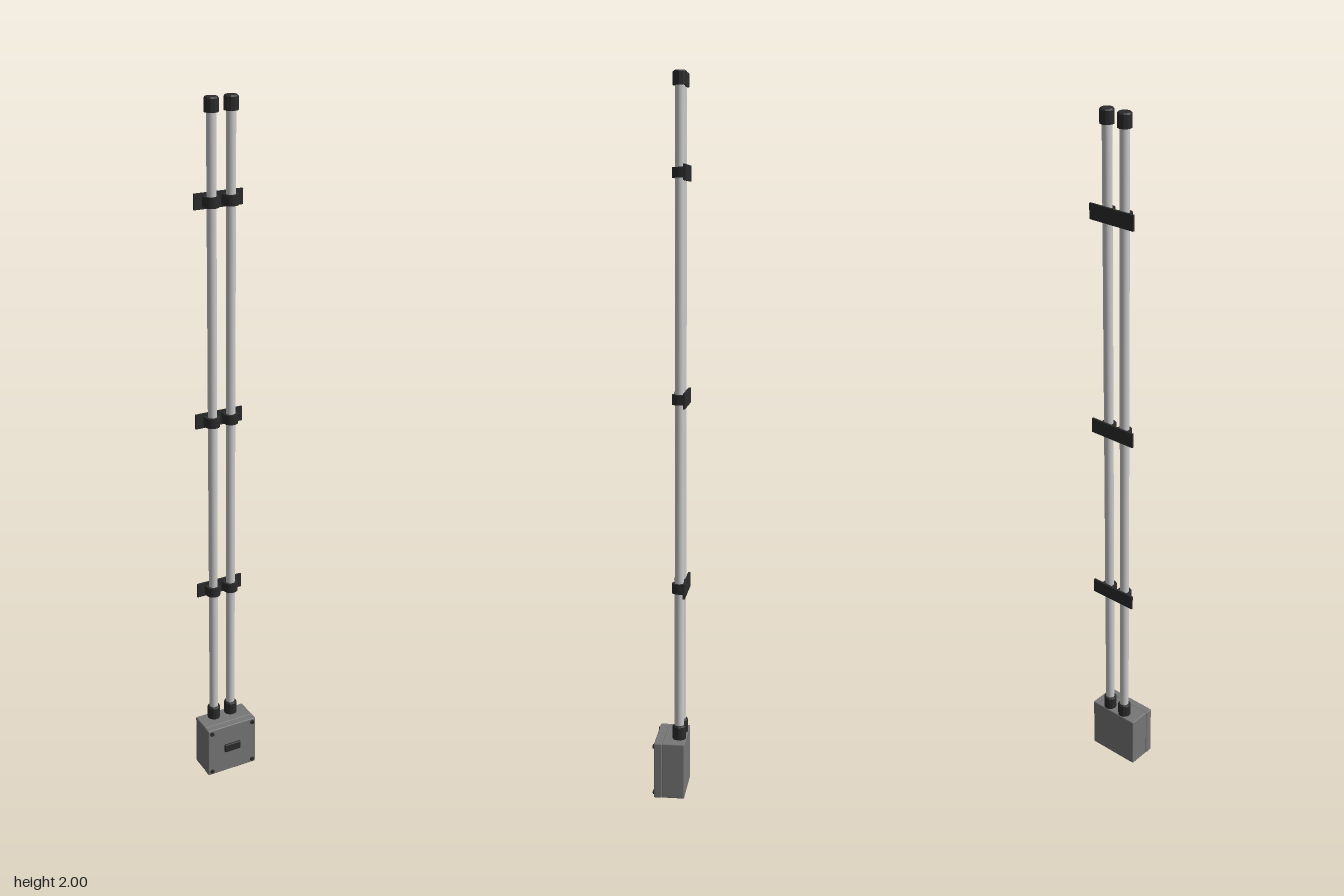
import * as THREE from 'three';
import { RoundedBoxGeometry } from 'three/addons/geometries/RoundedBoxGeometry.js';

const PIPE_X = 0.028, PIPE_Z = -0.027, BACK_Z = -0.047;

export function createModel() {
  const model = new THREE.Group();
  model.name = 'twinConduitWithJunctionBox';
  const steel = new THREE.MeshStandardMaterial({ color: 0xcccccc });
  const boxGrey = new THREE.MeshStandardMaterial({ color: 0x777777 });
  const black = new THREE.MeshStandardMaterial({ color: 0x2b2b2b });
  const blackFlat = black.clone();
  blackFlat.flatShading = true;

  function add(parent, name, geometry, material, x, y, z) {
    const mesh = new THREE.Mesh(geometry, material);
    mesh.name = name;
    mesh.position.set(x, y, z);
    parent.add(mesh);
    return mesh;
  }

  // Junction box: body and slightly separated lid
  const box = new THREE.Group();
  box.name = 'junctionBox';
  model.add(box);
  add(box, 'boxBody', new RoundedBoxGeometry(0.158, 0.16, 0.064, 2, 0.003), boxGrey, 0, 0.08, -0.015);
  add(box, 'boxLid', new RoundedBoxGeometry(0.16, 0.16, 0.023, 2, 0.003), boxGrey, 0, 0.08, 0.0275);
  add(box, 'labelPlate', new RoundedBoxGeometry(0.053, 0.026, 0.009, 2, 0.003), black, 0, 0.083, 0.041);
  const screw = new THREE.CylinderGeometry(0.006, 0.007, 0.006, 12).rotateX(Math.PI / 2);
  for (const x of [-0.068, 0.068])
    for (const y of [0.012, 0.148]) add(box, 'lidScrew', screw, black, x, y, 0.04);

  // Pipes with a gland at the bottom and a bevelled cap at the top
  const pipe = new THREE.CylinderGeometry(0.013, 0.013, 1.82, 20);
  const fitting = (h) => new THREE.LatheGeometry([
    [0, 0], [0.019, 0], [0.019, h - 0.004], [0.016, h], [0, h],
  ].map(([r, y]) => new THREE.Vector2(r, y)), 12);
  const gland = fitting(0.042), cap = fitting(0.038);
  for (const x of [-PIPE_X, PIPE_X]) {
    add(model, 'pipe', pipe, steel, x, 1.07, PIPE_Z);
    add(model, 'pipeGland', gland, blackFlat, x, 0.158, PIPE_Z);
    add(model, 'pipeCap', cap, blackFlat, x, 1.962, PIPE_Z);
  }

  // Saddle: U-shaped band reaching back to the wall strip
  const outer = 0.0205, depth = PIPE_Z - BACK_Z;
  const band = new THREE.Shape();
  band.moveTo(outer, depth);
  band.lineTo(outer, 0);
  band.absarc(0, 0, outer, 0, -Math.PI, true);
  band.lineTo(-outer, depth);
  band.closePath();
  const hole = new THREE.Path();
  hole.absarc(0, 0, 0.0128, 0, Math.PI * 2, false);
  band.holes.push(hole);
  const saddle = new THREE.ExtrudeGeometry(band, { depth: 0.028, bevelEnabled: false, curveSegments: 8 });
  saddle.translate(0, 0, -0.014).rotateX(-Math.PI / 2).rotateY(0);
  // After the turn the shape's +y faces -z, so the open side meets the wall

  // Wall brackets
  const strip = new THREE.BoxGeometry(0.142, 0.042, 0.006);
  for (const y of [0.6, 1.13, 1.737]) {
    const bracket = new THREE.Group();
    bracket.name = 'wallBracket';
    bracket.position.y = y;
    model.add(bracket);
    add(bracket, 'bracketStrip', strip, black, 0, 0, BACK_Z + 0.003);
    for (const x of [-PIPE_X, PIPE_X]) add(bracket, 'pipeSaddle', saddle, blackFlat, x, 0, PIPE_Z);
  }
  return model;
}
